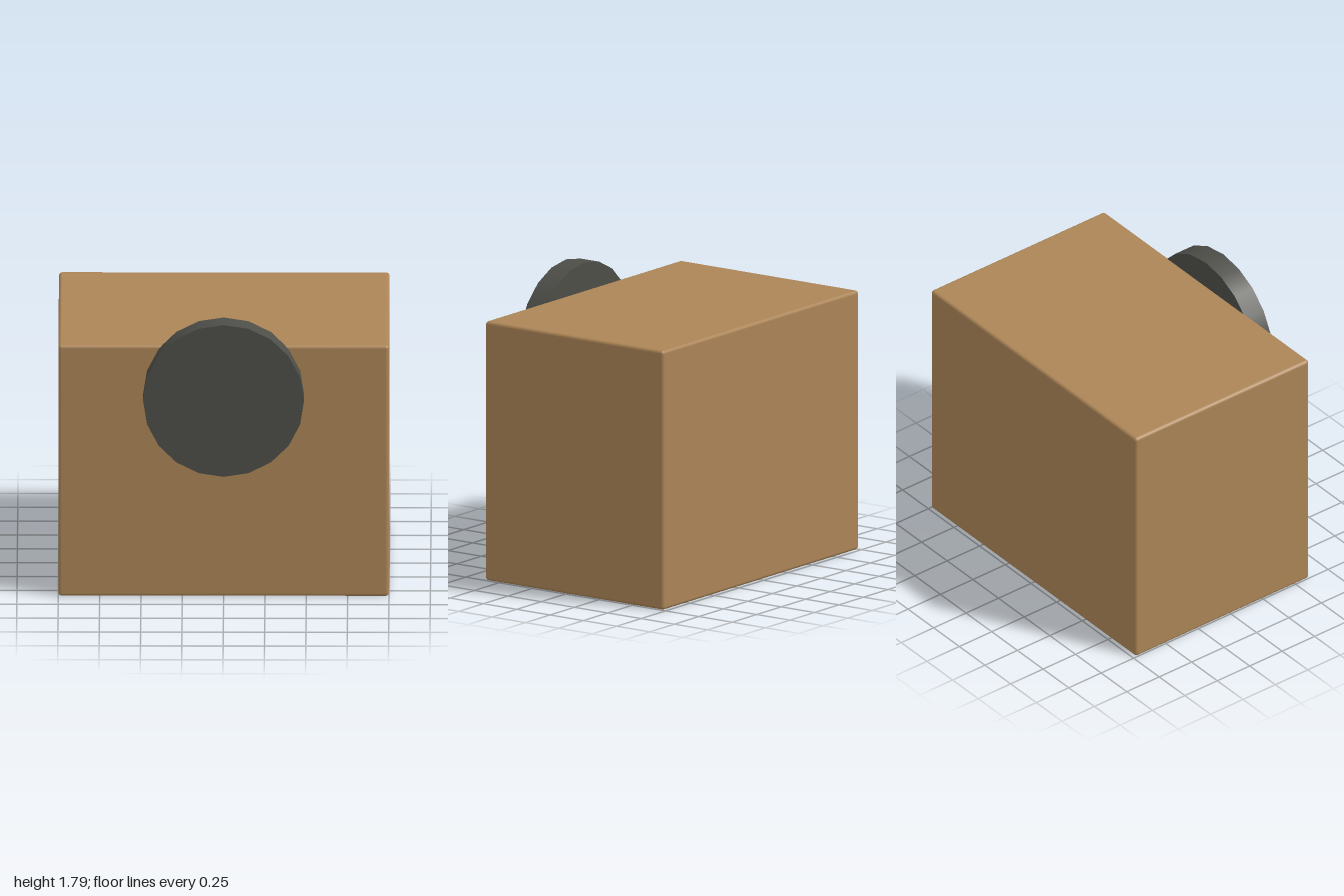
import * as THREE from 'three';
import { RoundedBoxGeometry } from 'three/addons/geometries/RoundedBoxGeometry.js';

export function createModel() {
  const model = new THREE.Group();
  model.name = 'drawerBlock';

  const wood = new THREE.MeshStandardMaterial({ color: 0xac8557 });
  wood.name = 'wood';
  const darkMetal = new THREE.MeshStandardMaterial({ color: 0x4d4e48 });
  darkMetal.name = 'darkMetal';

  // Solid block with narrow softened edges
  const block = new THREE.Mesh(new RoundedBoxGeometry(2, 1.61, 1.34, 2, 0.02), wood);
  block.name = 'block';
  block.position.set(0, 0.805, -0.063);
  model.add(block);

  // Twenty-sided disc on the front, rising above the top edge
  const discGeometry = new THREE.CylinderGeometry(0.487, 0.487, 0.138, 20);
  discGeometry.rotateX(Math.PI / 2);
  const disc = new THREE.Mesh(discGeometry, darkMetal);
  disc.name = 'knobDisc';
  disc.position.set(0, 1.3, 0.664);
  model.add(disc);

  return model;
}
